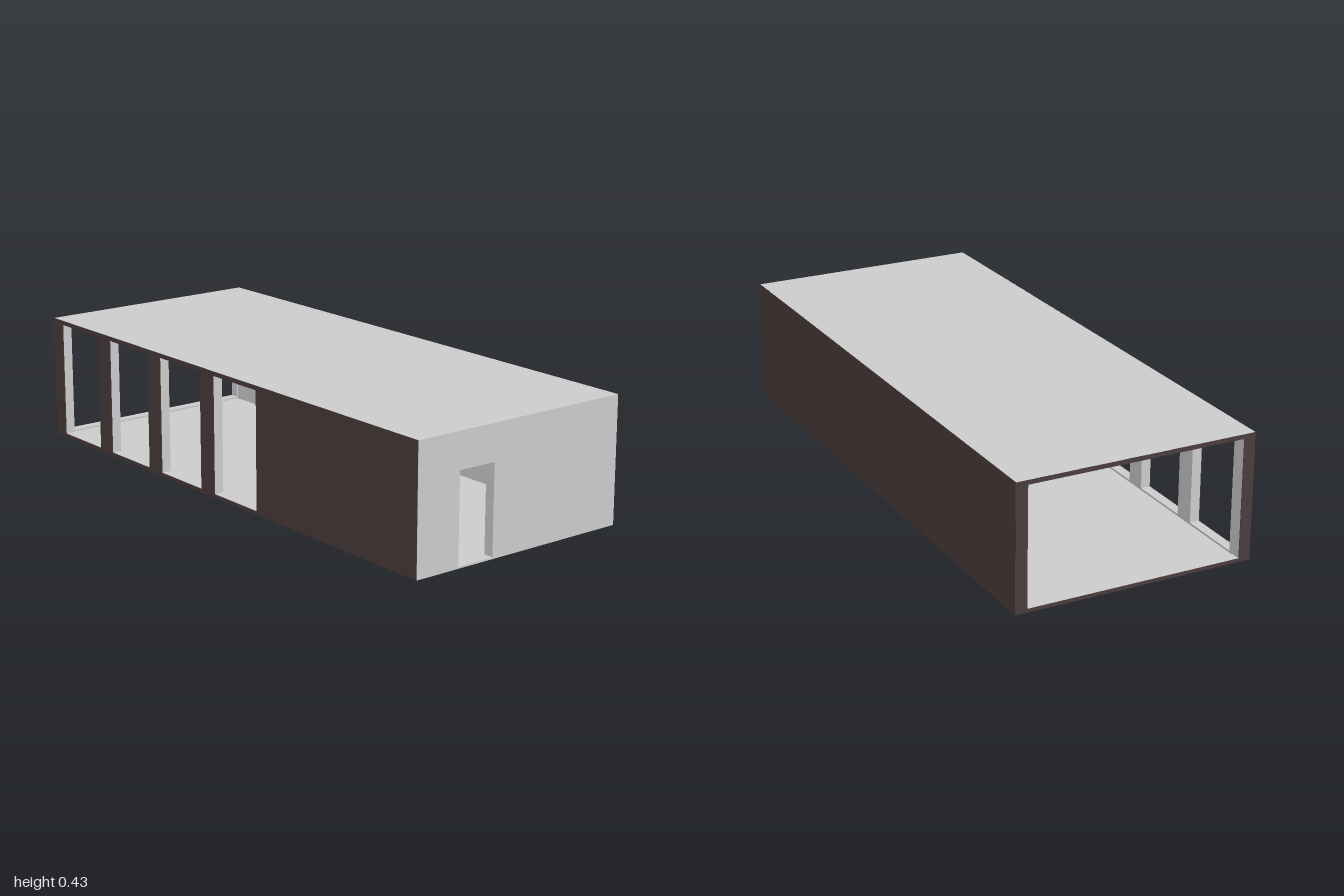
import * as THREE from 'three';

const W = 2, H = 0.433, D = 0.83;       // overall size
const T = 0.035, SKIN = 0.001;          // wall and cladding thickness
const FLOOR = 0.005, SILL = 0.012, HEAD = 0.42;

const grey = new THREE.MeshStandardMaterial({ color: 0xcccccc });
const brown = new THREE.MeshStandardMaterial({ color: 0x4b3b3b });

// Upright panel with rectangular openings [u0, u1, v0, v1], extruded along +z
function panel(u0, u1, v0, v1, openings, depth) {
  const rect = (Type, a, b, c, d) => {
    const s = new Type();
    s.moveTo(a, c); s.lineTo(b, c); s.lineTo(b, d); s.lineTo(a, d); s.closePath();
    return s;
  };
  const shape = rect(THREE.Shape, u0, u1, v0, v1);
  openings.forEach(o => shape.holes.push(rect(THREE.Path, ...o)));
  return new THREE.ExtrudeGeometry(shape, { depth, bevelEnabled: false });
}

export function createModel() {
  const model = new THREE.Group();
  const add = (name, geometry, material) => {
    const mesh = new THREE.Mesh(geometry, material);
    mesh.name = name;
    model.add(mesh);
    return mesh;
  };

  // Floor and roof slabs
  add('floor', new THREE.BoxGeometry(W, FLOOR, D), grey).position.y = FLOOR / 2;
  add('roof', new THREE.BoxGeometry(W, H - HEAD, D), grey).position.y = (H + HEAD) / 2;

  // Grey wall lining with a thin brown cladding on its outer face
  const wall = (name, halfLength, openings, turn, distance, clad) => {
    const group = new THREE.Group();
    group.name = name;
    const lining = new THREE.Mesh(
      panel(-halfLength, halfLength, FLOOR, HEAD, openings, T - SKIN), grey);
    lining.name = name + 'Lining';
    lining.position.z = distance - T;
    const cladding = new THREE.Mesh(
      panel(-halfLength, halfLength, 0, H, openings, SKIN * 2), clad);
    cladding.name = name + 'Cladding';
    cladding.position.z = distance - SKIN;
    group.add(lining, cladding);
    group.rotation.y = turn;
    model.add(group);
  };

  // Front wall with four full-height window openings
  const windows = [];
  for (let i = 0; i < 4; i++) {
    const x = -0.94 + i * 0.307;
    windows.push([x, x + 0.232, SILL, HEAD - 0.002]);
  }
  wall('frontWall', W / 2, windows, 0, D / 2, brown);
  wall('backWall', W / 2, [], Math.PI, D / 2, brown);

  // Left end with the doorway (u runs towards -z)
  wall('doorWall', D / 2, [[-0.25, -0.11, FLOOR + 0.001, 0.31]], Math.PI / 2, W / 2, grey);

  // Right end: one large opening in a slim frame
  wall('openEnd', D / 2, [[-0.375, 0.375, SILL, HEAD - 0.002]], -Math.PI / 2, W / 2, brown);

  return model;
}
